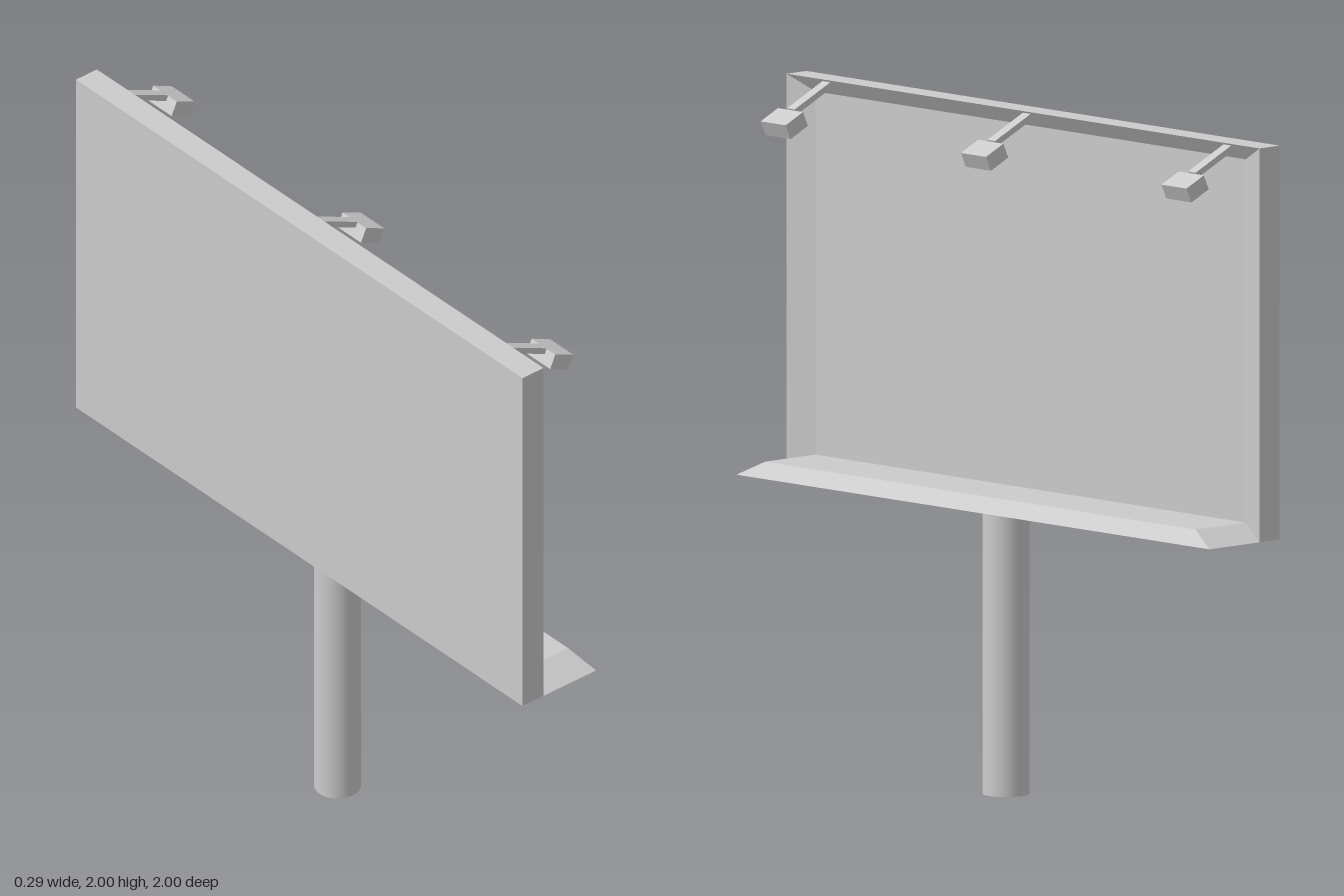
import * as THREE from 'three';

const material = new THREE.MeshStandardMaterial({ color: 0xcccccc });
const flat = new THREE.MeshStandardMaterial({ color: 0xcccccc, flatShading: true });

// Four corners, counter-clockwise seen from +x; bottom and top may differ in x and width
function loop(xLow, yLow, zLow, xHigh, yHigh, zHigh) {
  return [
    [xLow, yLow, zLow], [xLow, yLow, -zLow],
    [xHigh, yHigh, -zHigh], [xHigh, yHigh, zHigh],
  ];
}

// Skins a row of four-cornered loops and caps both ends
function loft(loops) {
  const pos = [];
  const quad = (a, b, c, d) => pos.push(...a, ...b, ...c, ...a, ...c, ...d);
  for (let k = 0; k < loops.length - 1; k++) {
    const a = loops[k], b = loops[k + 1];
    for (let i = 0; i < 4; i++) {
      const j = (i + 1) % 4;
      quad(a[i], a[j], b[j], b[i]);
    }
  }
  quad(...[...loops[0]].reverse());
  quad(...loops[loops.length - 1]);
  const geometry = new THREE.BufferGeometry();
  geometry.setAttribute('position', new THREE.Float32BufferAttribute(pos, 3));
  geometry.computeVertexNormals();
  return geometry;
}

function add(parent, name, geometry, mat = flat) {
  const mesh = new THREE.Mesh(geometry, mat);
  mesh.name = name;
  parent.add(mesh);
  return mesh;
}

export function createModel() {
  const group = new THREE.Group();
  group.name = 'billboard';
  const bottom = 0.845, top = 2, edge = 0.045;
  const front = -0.07, panel = -0.1;

  // Board with a sloped, recessed display panel
  add(group, 'board', loft([
    loop(-0.15, bottom, 1, -0.15, top, 1),
    loop(front, bottom, 1, front, top, 1),
    loop(panel, bottom + edge, 0.91, panel, top - edge, 0.91),
  ]));

  // Walkway: the lower sloped edge carried forward
  add(group, 'walkway', loft([0, 0.2].map((d) =>
    loop(front + d, bottom, 1, panel + d, bottom + edge, 0.91))));

  // Round post
  add(group, 'post', new THREE.CylinderGeometry(0.068, 0.068, bottom, 32), material)
    .position.set(-0.028, bottom / 2, 0.028);

  // Lamps leaning out from the top edge
  for (const z of [0.835, -0.012, -0.86]) {
    const lamp = new THREE.Group();
    lamp.name = 'lamp';
    lamp.position.set(front, 1.983, z);
    lamp.rotation.z = -0.43;
    add(lamp, 'lampArm', new THREE.BoxGeometry(0.16, 0.018, 0.033)).position.x = 0.068;
    add(lamp, 'lampHead', new THREE.BoxGeometry(0.076, 0.047, 0.106))
      .position.set(0.189, -0.017, 0);
    group.add(lamp);
  }
  return group;
}
